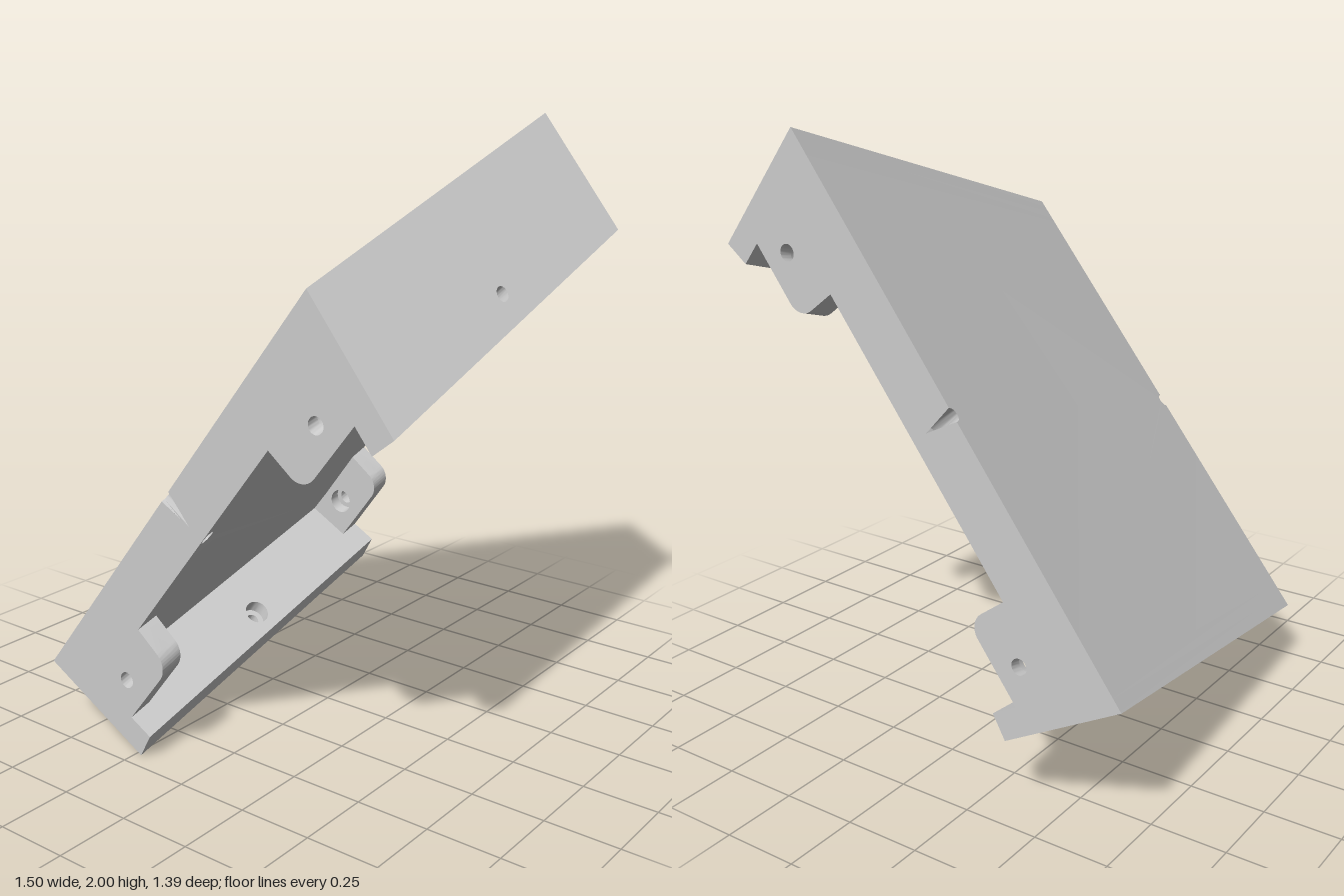
import * as THREE from 'three';
import { toCreasedNormals } from 'three/addons/utils/BufferGeometryUtils.js';

const Z = 0.695;      // half width
const WALL = 0.09;    // end flange and tab thickness
const PLATE = 0.184;  // plate thickness
const GROOVE = 0.124; // depth at which the slanted edge holes leave the side face
const R = 0.023;      // edge hole radius
const V = (x, y) => new THREE.Vector2(x, y);
const at = (p, ...terms) => terms.reduce((q, [v, k]) => q.addScaledVector(v, k), p.clone());

// Slanted cross-section at a given z: top edge a-b, along e, down n, and two end flanges
function section(z) {
  const t = (Z - z) / (2 * Z);
  const a = V(-0.63, 0.22).lerp(V(-0.755, 0.465), t);
  const b = V(0.46, 1.6).lerp(V(0.39, 2.0), t);
  const e = b.clone().sub(a).normalize();
  const n = V(e.y, -e.x);
  const low = { o: a, f: V(0.4, -0.22).normalize(), m: e, len: 0.457 };
  low.g = V(-low.f.y, low.f.x);
  const high = { o: b, f: V(0.29, -0.37).normalize(), m: e.clone().negate(), len: 0.47 };
  high.g = V(high.f.y, -high.f.x);
  // distance of a flange's inner face from its top corner, at depth d
  const wall = (s, d) => {
    const u = (d - WALL * s.g.dot(n)) / s.f.dot(n);
    return u * s.f.dot(s.m) + WALL * s.g.dot(s.m);
  };
  return { a, b, e, n, low, high, wall, length: a.distanceTo(b) };
}

// Extrude a shape from w0 to w1, then move each vertex by the mapping rule
function solid(shape, w0, w1, map) {
  const geo = new THREE.ExtrudeGeometry(shape, { depth: w1 - w0, bevelEnabled: false, curveSegments: 16 });
  const p = geo.attributes.position;
  for (let i = 0; i < p.count; i++) p.setXYZ(i, ...map(p.getX(i), p.getY(i), p.getZ(i) + w0));
  // turn the faces outward if the rule mirrored them
  const [A, B, C] = [0, 1, 2].map(() => new THREE.Vector3());
  let volume = 0;
  for (let i = 0; i < p.count; i += 3) {
    A.fromBufferAttribute(p, i); B.fromBufferAttribute(p, i + 1); C.fromBufferAttribute(p, i + 2);
    volume += A.dot(B.cross(C));
  }
  if (volume < 0) for (let i = 0; i < p.count; i += 3) {
    B.fromBufferAttribute(p, i + 1); C.fromBufferAttribute(p, i + 2);
    p.setXYZ(i + 1, C.x, C.y, C.z); p.setXYZ(i + 2, B.x, B.y, B.z);
  }
  geo.deleteAttribute('uv');
  return toCreasedNormals(geo, 0.6);
}

function addHole(shape, x, y, r) {
  shape.holes.push(new THREE.Path().absarc(x, y, r, 0, Math.PI * 2, true));
  return shape;
}

export function createModel() {
  const model = new THREE.Group();
  const material = new THREE.MeshStandardMaterial({ color: 0xcccccc });
  const add = (name, ...geos) => {
    const part = new THREE.Group();
    part.name = name;
    geos.forEach((g) => {
      const mesh = new THREE.Mesh(g, material);
      mesh.name = name;
      part.add(mesh);
    });
    model.add(part);
  };

  // Plate, spanning between the flanges
  const plateMap = (x, z, d) => {
    const s = section(z);
    let m = s.length / 2 + x;
    if (x < -0.5) m = s.wall(s.low, d);
    if (x > 0.5) m = s.length - s.wall(s.high, d);
    const q = at(s.a, [s.e, m], [s.n, d]);
    return [q.x, q.y, z];
  };
  // edge grooves open from half circles into full circles with depth
  const grooveMap = (x, z, d) => {
    if (Math.abs(x) < 0.1 && d > 0.01) {
      const phi = 2 * Math.atan2(Math.max(0, Z - Math.abs(z)), x) - Math.PI / 2;
      x = R * Math.cos(phi);
      z = Math.sign(z) * (Z - R - R * Math.sin(phi));
    }
    return plateMap(x, z, d);
  };
  const outline = [V(-0.8, -Z)];
  for (let i = 12; i >= 0; i--) {
    const a = Math.PI * i / 12;
    outline.push(V(R * Math.cos(a), -Z + R * Math.sin(a)));
  }
  outline.push(V(0.8, -Z), V(0.8, Z));
  for (let i = 0; i <= 12; i++) {
    const a = Math.PI * i / 12;
    outline.push(V(R * Math.cos(a), Z - R * Math.sin(a)));
  }
  outline.push(V(-0.8, Z));
  const lower = new THREE.Shape([V(-0.8, -Z), V(0.8, -Z), V(0.8, Z), V(-0.8, Z)]);
  addHole(lower, 0, Z - R - 0.006, R);
  add('plate', solid(new THREE.Shape(outline), 0, GROOVE, grooveMap),
    solid(lower, GROOVE, PLATE, plateMap));

  for (const side of ['low', 'high']) {
    // End flange with a counterbored hole
    const len = section(0)[side].len;
    const flangeMap = (u, z, w) => {
      const s = section(z), { o, f, g } = s[side];
      const trim = -g.dot(s.n) / f.dot(s.n) * w * (1 - u / len);
      const q = at(o, [f, u + trim], [g, w]);
      return [q.x, q.y, z];
    };
    const flange = (r) => addHole(new THREE.Shape([V(0, -Z), V(len, -Z), V(len, Z), V(0, Z)]), 0.37, 0, r);
    add(side + 'EndFlange', solid(flange(0.025), 0, WALL / 2, flangeMap),
      solid(flange(0.046), WALL / 2, WALL, flangeMap));

    // Rounded corner tabs with counterbored holes, on the front and back edges
    for (const face of [1, -1]) {
      const tabMap = (m, d, w) => {
        const z = face * (Z - w), s = section(z);
        const q = at(s[side].o, [s[side].m, m < 0.01 ? s.wall(s[side], d) : m], [s.n, d]);
        return [q.x, q.y, z];
      };
      const tab = (r) => {
        const end = side === 'low' ? 0.427 : 0.457;
        const shape = new THREE.Shape();
        shape.moveTo(0, PLATE - 0.004);
        shape.lineTo(end, PLATE - 0.004);
        shape.lineTo(end, 0.285);
        shape.absarc(end - 0.06, 0.285, 0.06, 0, Math.PI / 2, false);
        shape.lineTo(0, 0.345);
        shape.closePath();
        return addHole(shape, side === 'low' ? 0.24 : 0.273, 0.255, r);
      };
      add((face > 0 ? 'front' : 'back') + (side === 'low' ? 'LowTab' : 'HighTab'),
        solid(tab(0.027), 0, WALL / 2, tabMap), solid(tab(0.045), WALL / 2, WALL, tabMap));
    }
  }
  return model;
}
